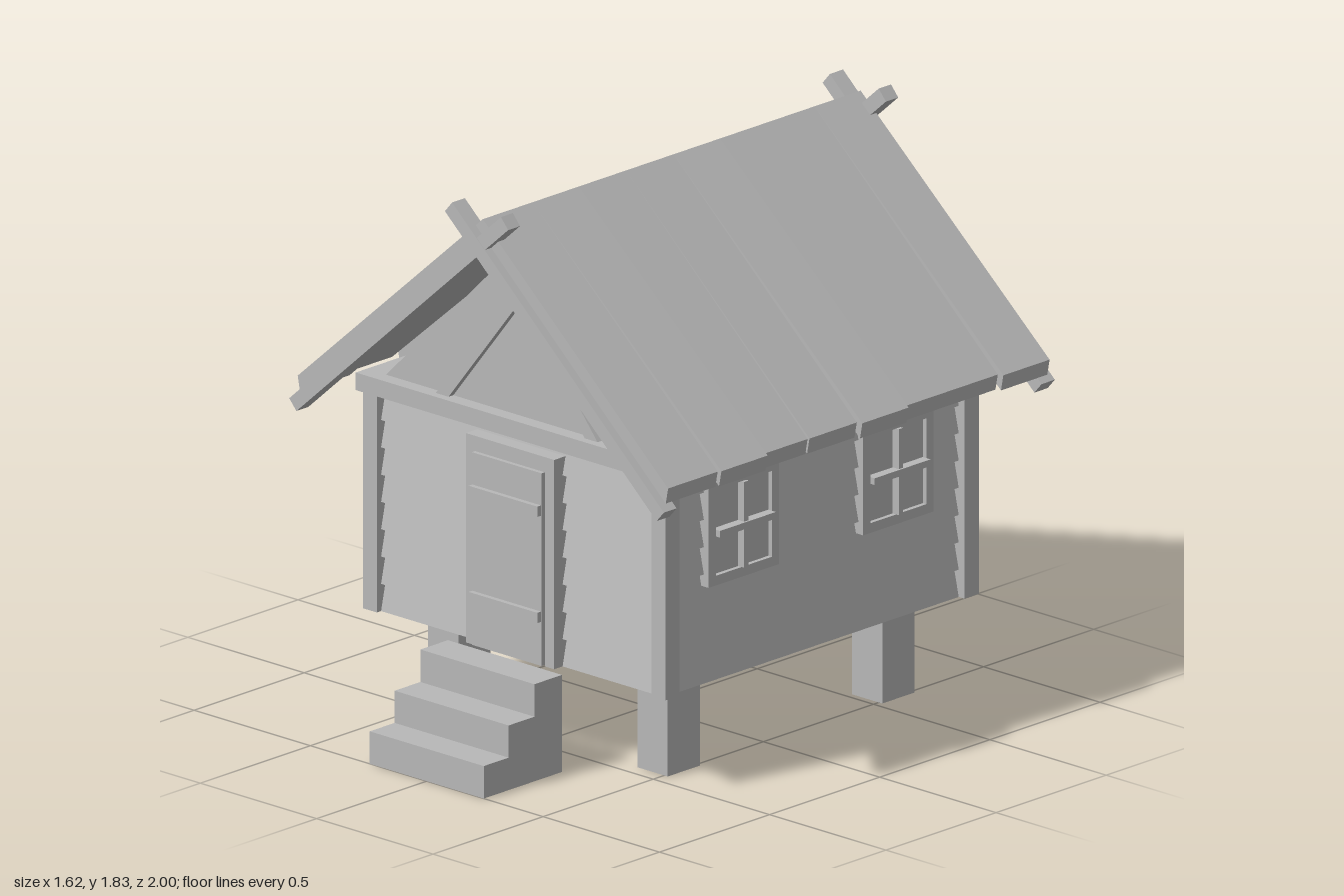
import * as THREE from 'three';

export function createModel() {
  const model = new THREE.Group();
  const wood = new THREE.MeshStandardMaterial({ color: 0xb8b8b8 });
  wood.name = 'plain grey wood';

  const add = (name, geometry) => {
    const mesh = new THREE.Mesh(geometry, wood);
    mesh.name = name;
    model.add(mesh);
    return mesh;
  };
  // Box given by its limits on each axis
  const box = (name, x0, x1, y0, y1, z0, z1) =>
    add(name, new THREE.BoxGeometry(x1 - x0, y1 - y0, z1 - z0)
      .translate((x0 + x1) / 2, (y0 + y1) / 2, (z0 + z1) / 2));
  // Outline in the xy plane, extruded from z0 to z1
  const slab = (name, points, z0, z1) => {
    const shape = new THREE.Shape(points.map(([x, y]) => new THREE.Vector2(x, y)));
    return add(name, new THREE.ExtrudeGeometry(shape, { depth: z1 - z0, bevelEnabled: false })
      .translate(0, 0, z0));
  };
  const mid = -0.1085; // centre of the cabin in z

  // Stilts
  for (const s of [-1, 1])
    for (const z of [0.377, -0.597])
      box('stilt', s * 0.45 - 0.065, s * 0.45 + 0.065, 0, 0.33, z - 0.073, z + 0.073);

  // Steps as one stair profile, turned to run along z
  const stairs = new THREE.Shape([
    [0.645, 0], [1, 0], [1, 0.107], [0.887, 0.107], [0.887, 0.213],
    [0.77, 0.213], [0.77, 0.32], [0.645, 0.32],
  ].map(([z, y]) => new THREE.Vector2(z, y)));
  add('steps', new THREE.ExtrudeGeometry(stairs, { depth: 0.49, bevelEnabled: false })
    .rotateY(-Math.PI / 2).translate(0.245, 0, 0));

  // Lapped siding: each course is wider at its bottom edge
  const rows = 8, h = 0.72 / rows;
  for (let i = 0; i < rows; i++) {
    const g = new THREE.BoxGeometry(1.25, h, 1.385);
    const p = g.attributes.position;
    for (let k = 0; k < p.count; k++)
      if (p.getY(k) > 0) {
        p.setX(k, p.getX(k) - Math.sign(p.getX(k)) * 0.02);
        p.setZ(k, p.getZ(k) - Math.sign(p.getZ(k)) * 0.02);
      }
    g.computeVertexNormals();
    add('sidingCourse', g.translate(0, 0.32 + h * (i + 0.5), mid));
  }

  // Corner posts and the wall plate above them
  for (const s of [-1, 1])
    for (const t of [-1, 1]) {
      const x = s * 0.62, z = mid + t * 0.679;
      box('cornerPost', x - 0.03, x + 0.03, 0.32, 1.04, z - 0.0325, z + 0.0325);
    }
  box('wallPlate', -0.665, 0.665, 1.04, 1.098, -0.837, 0.62);

  // Door with frame and two battens
  box('doorFrameTop', -0.19, 0.19, 0.96, 1.01, 0.54, 0.622);
  for (const s of [-1, 1])
    box('doorFrameSide', s * 0.17 - 0.02, s * 0.17 + 0.02, 0.32, 0.96, 0.54, 0.622);
  box('door', -0.15, 0.15, 0.325, 0.96, 0.54, 0.637);
  for (const y of [0.487, 0.837])
    box('doorBatten', -0.148, 0.148, y - 0.017, y + 0.017, 0.63, 0.654);

  // Windows on both long walls
  for (const s of [-1, 1])
    for (const z of [0.242, -0.46]) {
      const part = (name, y0, y1, z0, z1, out) => {
        const [a, b] = [s * 0.57, s * out].sort((m, n) => m - n);
        box(name, a, b, y0, y1, z + z0, z + z1);
      };
      part('windowFrameBottom', 0.64, 0.672, -0.16, 0.16, 0.645);
      part('windowFrameTop', 0.955, 0.99, -0.16, 0.16, 0.645);
      part('windowFrameSide', 0.672, 0.955, -0.16, -0.127, 0.645);
      part('windowFrameSide', 0.672, 0.955, 0.127, 0.16, 0.645);
      part('windowPane', 0.672, 0.955, -0.127, 0.127, 0.63);
      part('windowUpright', 0.672, 0.955, -0.01, 0.01, 0.656);
      part('windowCrossbar', 0.802, 0.824, -0.127, 0.127, 0.663);
    }

  // Gables with a raised V-shaped trim at both ends
  slab('gable', [[-0.59, 1.09], [0.59, 1.09], [0, 1.67]], -0.79, 0.57);
  const trim = [[-0.35, 1.095], [-0.295, 1.095], [0, 1.465], [0.295, 1.095],
    [0.35, 1.095], [0.01, 1.51], [-0.01, 1.51]];
  slab('frontGableTrim', trim, 0.56, 0.592);
  slab('backGableTrim', trim, -0.812, -0.78);

  // Roof planks: [back, front, eave x, eave top y]
  const planks = [
    [-0.97, -0.76, 0.812, 1.093], [-0.76, -0.33, 0.788, 1.09],
    [-0.33, -0.12, 0.812, 1.093], [-0.12, 0.095, 0.788, 1.09],
    [0.095, 0.31, 0.78, 1.087], [0.31, 0.52, 0.812, 1.093],
    [0.52, 0.745, 0.796, 1.088],
  ];
  for (const [z0, z1, x, y] of planks)
    slab('roofPlankPair', [[0, 1.79], [-x, y], [-x + 0.01, y - 0.052], [0, 1.73],
      [x - 0.01, y - 0.052], [x, y]], z0, z1);

  // Crossed barge boards at each end, poking out above the ridge
  for (const [z0, z1] of [[-1, -0.94], [0.717, 0.775]])
    for (const s of [-1, 1]) {
      const pts = [[-0.775, 0.983], [0.135, 1.792], [0.104, 1.828], [-0.806, 1.018]]
        .map(([x, y]) => [s * x, y]);
      const e = s > 0 ? 0.002 : 0;
      slab('bargeBoard', pts, z0 + e, z1 - e);
    }

  return model;
}
